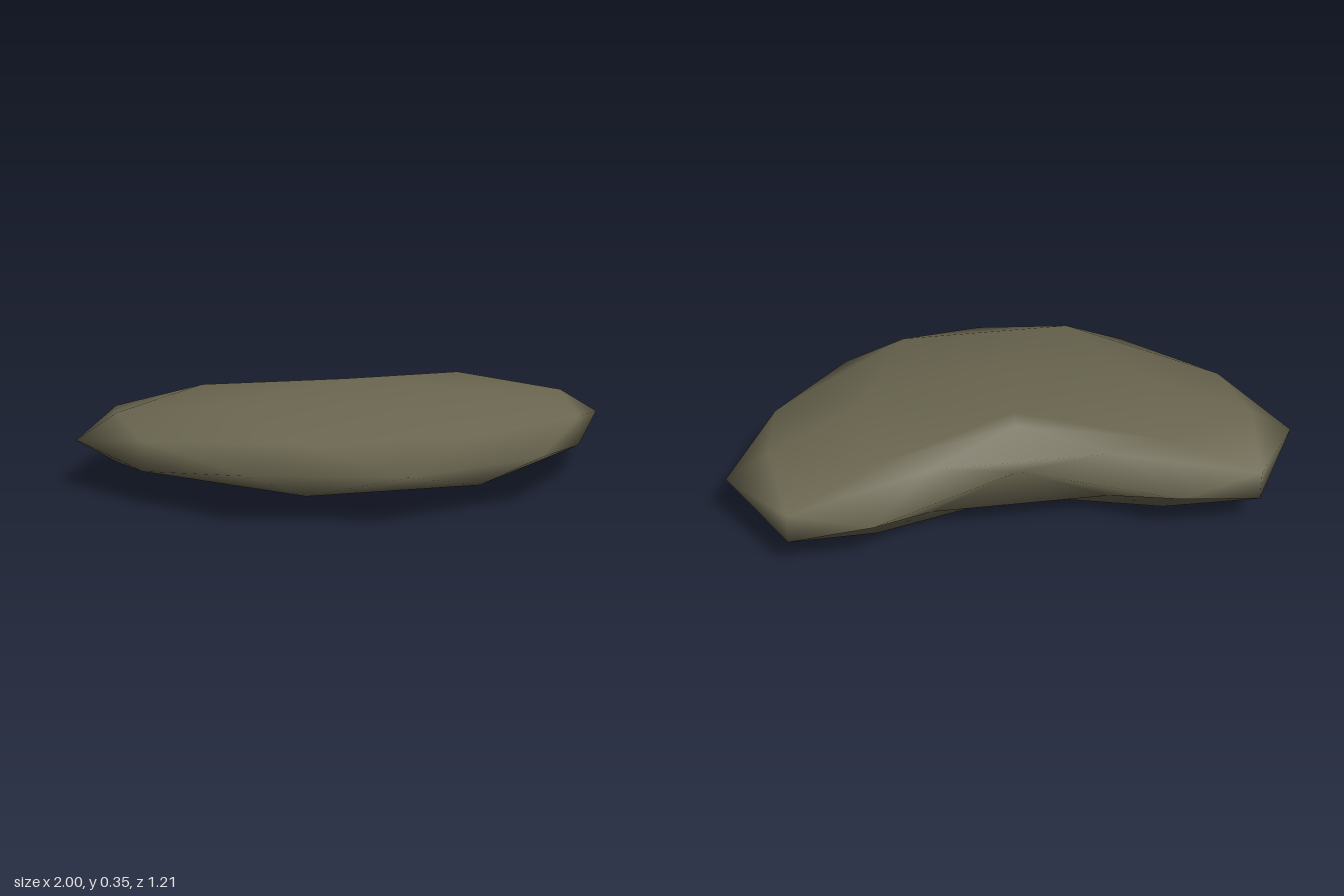
import * as THREE from 'three';
import { mergeVertices } from 'three/addons/utils/BufferGeometryUtils.js';

// Depth of the reshaped front tip and back notch: [|x|, z on unit sphere, new z]
const RESHAPED = [
  [0, 1, 0.6], [0.526, 0.851, 0.435], [0.309, 0.809, 0.42],
  [0, -1, -0.365], [0.526, -0.851, -0.605], [0.309, -0.809, -0.43], [0, -0.526, -0.3],
];

export function createModel() {
  const group = new THREE.Group();
  const stone = new THREE.MeshStandardMaterial({ color: 0x6a6650 });
  stone.name = 'oliveStone';

  // Low-poly sphere, turned so its edge seams mirror across x
  let geo = new THREE.IcosahedronGeometry(1, 1).rotateY(Math.PI / 2);
  geo.deleteAttribute('uv');
  geo.deleteAttribute('normal');
  geo = mergeVertices(geo, 1e-3);

  // Flatten, shift back, then push the tip and notch into a heart shape
  const p = geo.attributes.position;
  for (let i = 0; i < p.count; i++) {
    const x = p.getX(i), y = p.getY(i), z = p.getZ(i);
    const hit = RESHAPED.find(([a, b]) => Math.abs(Math.abs(x) - a) < 0.01 && Math.abs(z - b) < 0.01);
    p.setXYZ(i, x, 0.178 + y * 0.176, hit ? hit[2] : z * 0.63 - 0.255);
  }
  geo.computeVertexNormals();

  const body = new THREE.Mesh(geo, stone);
  body.name = 'heartShapedPebble';
  group.add(body);
  return group;
}
